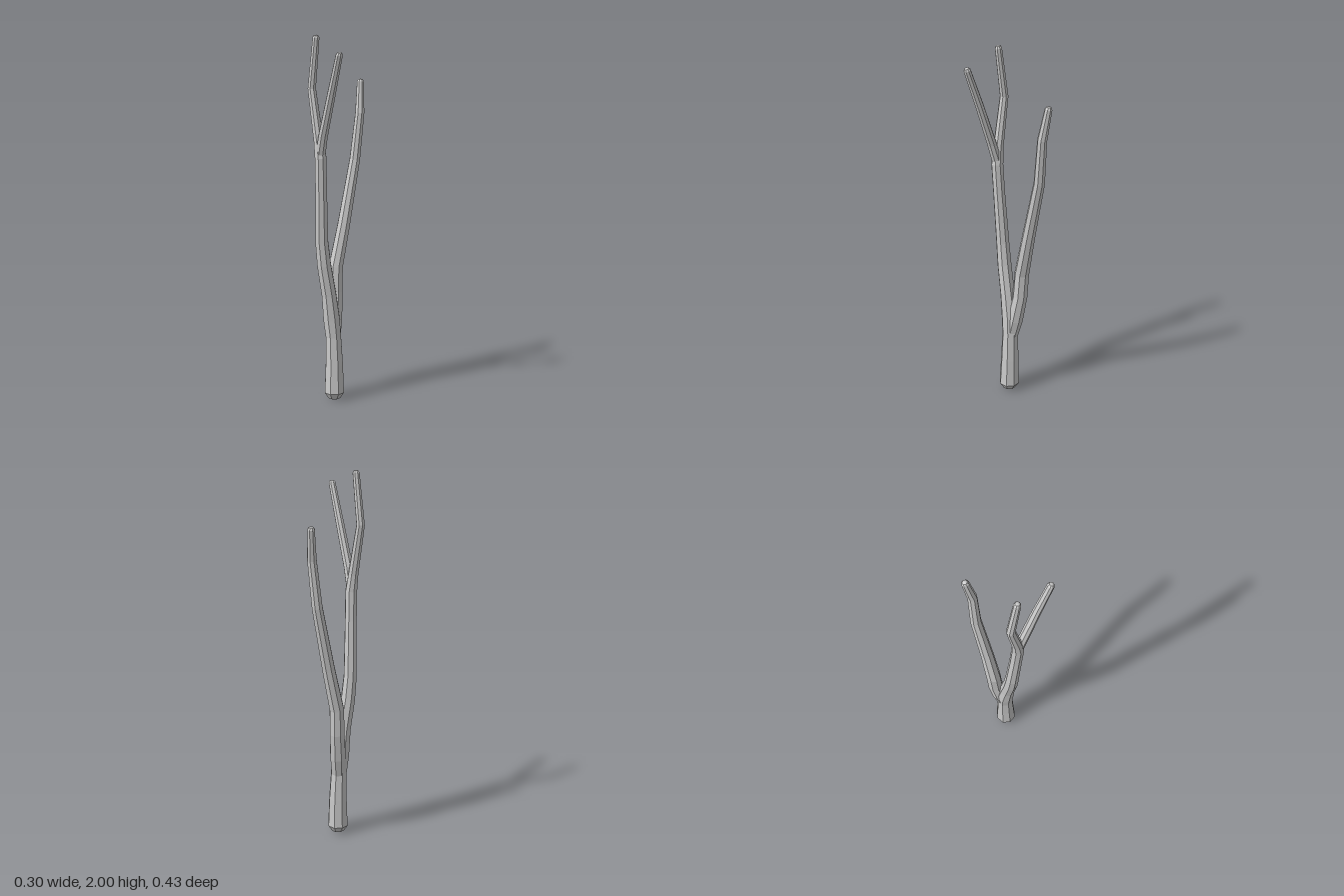
import * as THREE from 'three';

const SIDES = 8;
const UP = new THREE.Vector3(0, 1, 0);

// Faceted limb through stations [x, y, z, radius], with rounded ends
function limb(name, stations, material) {
  const points = stations.map(([x, y, z]) => new THREE.Vector3(x, y, z));
  const last = points.length - 1;
  const rings = [];
  const addRing = (center, dir, radius) => rings.push({ center, dir, radius });
  points.forEach((p, i) => {
    const before = p.clone().sub(points[Math.max(i - 1, 0)]).normalize();
    const after = points[Math.min(i + 1, last)].clone().sub(p).normalize();
    const dir = before.add(after).normalize();
    const r = stations[i][3];
    const cap = (out, size) => addRing(p.clone().addScaledVector(dir, out * r), dir, size * r);
    if (i === 0) { cap(-0.7, 0); cap(-0.6, 0.6); }
    addRing(p, dir, r);
    if (i === last) { cap(0.6, 0.65); cap(0.75, 0); }
  });

  const positions = [];
  const index = [];
  const turn = new THREE.Quaternion();
  rings.forEach(({ center, dir, radius }, i) => {
    turn.setFromUnitVectors(UP, dir);
    for (let s = 0; s < SIDES; s++) {
      const a = ((s + 0.5) / SIDES) * Math.PI * 2;
      const v = new THREE.Vector3(Math.sin(a) * radius, 0, Math.cos(a) * radius)
        .applyQuaternion(turn).add(center);
      positions.push(v.x, v.y, v.z);
      if (i === 0) continue;
      const n = (s + 1) % SIDES;
      const lo = (i - 1) * SIDES;
      const hi = i * SIDES;
      if (rings[i - 1].radius > 0) index.push(lo + s, lo + n, hi + n);
      if (radius > 0) index.push(lo + s, hi + n, hi + s);
    }
  });
  const geometry = new THREE.BufferGeometry();
  geometry.setAttribute('position', new THREE.Float32BufferAttribute(positions, 3));
  geometry.setIndex(index);
  geometry.computeVertexNormals();
  const mesh = new THREE.Mesh(geometry, material);
  mesh.name = name;
  return mesh;
}

export function createModel() {
  const model = new THREE.Group();
  model.name = 'forkedBranch';
  const bark = new THREE.MeshStandardMaterial({ color: 0xcccccc, flatShading: true });

  // Trunk, running on into the left-hand fork and its upright twig
  model.add(limb('mainStem', [
    [-0.013, 0.04, -0.015, 0.057],
    [-0.013, 0.2, -0.018, 0.051],
    [-0.018, 0.36, -0.02, 0.045],
    [-0.028, 0.46, -0.02, 0.048],
    [-0.042, 0.6, -0.008, 0.042],
    [-0.068, 0.77, 0.007, 0.04],
    [-0.08, 0.9, 0.015, 0.037],
    [-0.083, 1.2, 0.034, 0.033],
    [-0.085, 1.36, 0.043, 0.033],
    [-0.095, 1.45, 0.036, 0.028],
    [-0.13, 1.72, 0.002, 0.023],
    [-0.107, 1.985, 0.033, 0.019],
  ], bark));

  // Long side fork leaning back
  model.add(limb('backFork', [
    [-0.016, 0.34, -0.024, 0.038],
    [-0.012, 0.45, -0.046, 0.045],
    [-0.006, 0.6, -0.073, 0.042],
    [-0.004, 0.74, -0.082, 0.041],
    [0.04, 0.97, -0.11, 0.036],
    [0.1, 1.32, -0.158, 0.03],
    [0.126, 1.57, -0.167, 0.026],
    [0.13, 1.735, -0.196, 0.02],
  ], bark));

  // Twig leaning forward from the upper fork
  model.add(limb('frontTwig', [
    [-0.088, 1.36, 0.04, 0.028],
    [-0.072, 1.48, 0.072, 0.026],
    [-0.03, 1.7, 0.135, 0.023],
    [0.01, 1.91, 0.2, 0.019],
  ], bark));

  return model;
}
